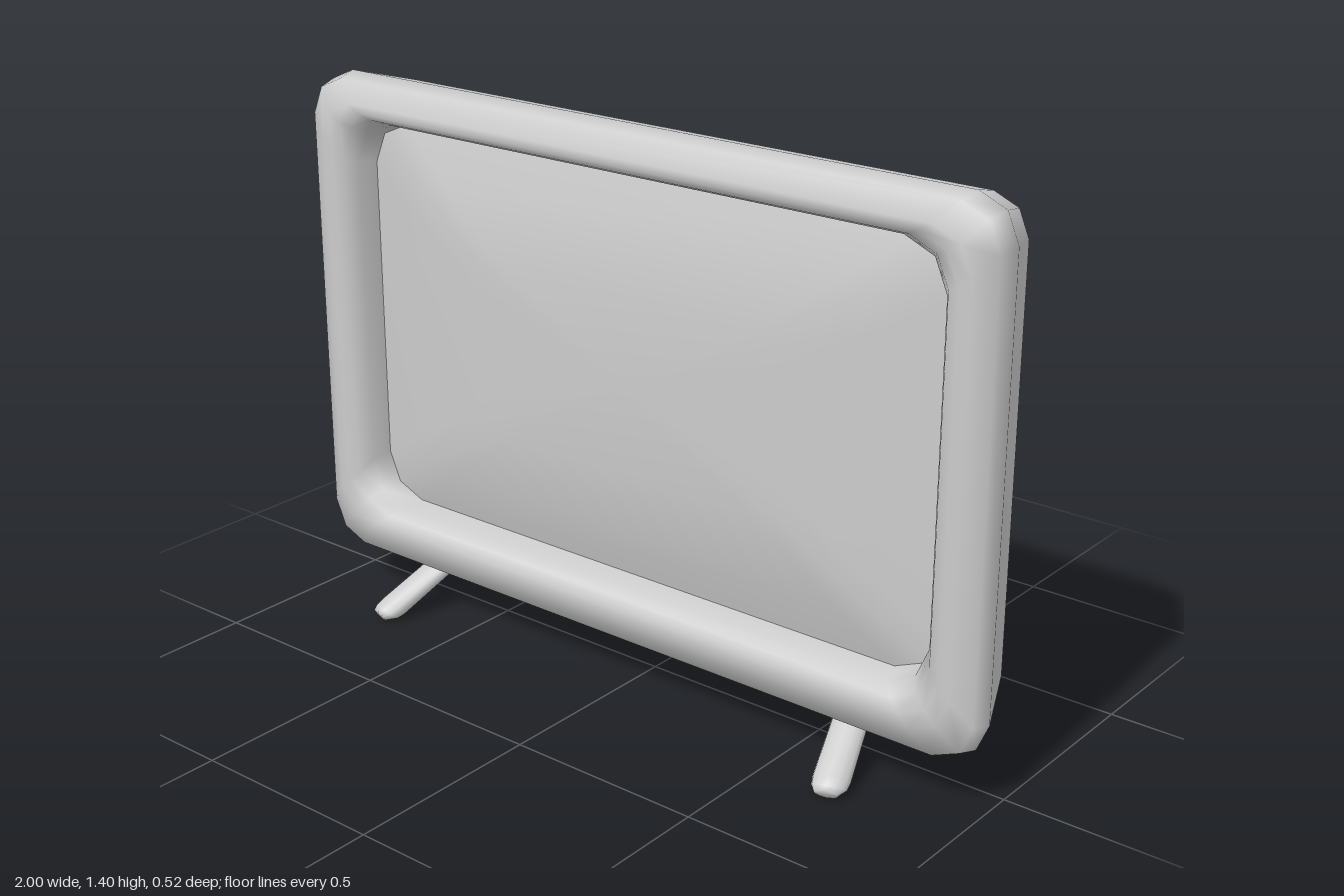
import * as THREE from 'three';

const material = new THREE.MeshStandardMaterial({ color: 0xcccccc });

// Smooth skin through a list of equal-sized rings, optionally closed at either end
function loft(name, rings, capStart, capEnd) {
  const n = rings[0].length;
  const points = rings.flat();
  const index = [];
  for (let i = 0; i < rings.length - 1; i++) {
    for (let j = 0; j < n; j++) {
      const k = (j + 1) % n;
      const a = i * n + j, b = i * n + k, c = a + n, d = b + n;
      index.push(a, b, d, a, d, c);
    }
  }
  const cap = (ring, first, flip) => {
    const centre = new THREE.Vector3();
    ring.forEach((p) => centre.addScaledVector(p, 1 / n));
    const c = points.push(centre) - 1;
    for (let j = 0; j < n; j++) {
      const a = first + j, b = first + (j + 1) % n;
      if (flip) index.push(c, b, a);
      else index.push(c, a, b);
    }
  };
  if (capStart) cap(rings[0], 0, true);
  if (capEnd) cap(rings[rings.length - 1], (rings.length - 1) * n, false);
  const geometry = new THREE.BufferGeometry().setFromPoints(points);
  geometry.setIndex(index);
  geometry.computeVertexNormals();
  const mesh = new THREE.Mesh(geometry, material);
  mesh.name = name;
  return mesh;
}

// Rectangle with two-step chamfered corners, counter-clockwise seen from the front
function roundedRing([hx, hy, cy, z, r]) {
  const corner = [[hx, hy - r], [hx - 0.3 * r, hy - 0.3 * r], [hx - r, hy]];
  const back = [...corner].reverse();
  const quadrants = [[1, 1, corner], [-1, 1, back], [-1, -1, corner], [1, -1, back]];
  return quadrants.flatMap(([sx, sy, pts]) =>
    pts.map(([x, y]) => new THREE.Vector3(sx * x, cy + sy * y, z)));
}

// Bent stand: a rounded bar running from back foot over the apex to front foot
function stand(name, x, side) {
  const forward = new THREE.Vector3(side * 0.076, 0, 0.24).normalize();
  const up = new THREE.Vector3(0, 1, 0);
  const across = new THREE.Vector3().crossVectors(up, forward);
  // upper [t, y], lower [t, y], half width; t is the distance along the bar
  const half = [
    [0, 0.175, 0, 0.115, 0.042],
    [0.03, 0.165, 0.012, 0.115, 0.042],
    [0.238, 0.048, 0.198, 0.006, 0.045],
    [0.26, 0.034, 0.215, 0, 0.042],
    [0.266, 0.024, 0.255, 0, 0.028],
  ];
  const stations = [
    ...half.slice(1).reverse().map(([a, b, c, d, w]) => [-a, b, -c, d, w]),
    ...half,
  ];
  const rings = stations.map(([tu, yu, tl, yl, w]) =>
    Array.from({ length: 12 }, (_, j) => {
      const angle = (j / 12) * Math.PI * 2;
      const s = (1 + Math.sin(angle)) / 2;
      return new THREE.Vector3(x, 0, 0)
        .addScaledVector(forward, tl + (tu - tl) * s)
        .addScaledVector(up, yl + (yu - yl) * s)
        .addScaledVector(across, w * Math.cos(angle));
    }));
  return loft(name, rings, true, true);
}

export function createModel() {
  const group = new THREE.Group();

  // Sections are half width, half height, centre height, z, corner size
  // Tapered casing whose rounded front frame rolls inwards to the screen
  const casing = [
    [0.88, 0.53, 0.763, -0.116, 0.05],
    [0.912, 0.567, 0.763, -0.105, 0.07],
    [0.935, 0.594, 0.763, -0.07, 0.09],
    [1, 0.639, 0.761, 0.085, 0.1],
    [0.99, 0.627, 0.761, 0.138, 0.1],
    [0.94, 0.572, 0.763, 0.16, 0.1],
    [0.91, 0.548, 0.768, 0.16, 0.1],
    [0.88, 0.528, 0.773, 0.148, 0.1],
    [0.86, 0.511, 0.777, 0.118, 0.11],
    [0.85, 0.503, 0.777, 0.065, 0.11],
  ].map(roundedRing);
  group.add(loft('casing', casing, true, false));

  // Bulging screen
  const screen = [
    [0.85, 0.503, 0.777, 0.065, 0.11],
    [0.68, 0.38, 0.777, 0.1, 0.1],
    [0.45, 0.22, 0.777, 0.122, 0.08],
  ].map(roundedRing);
  group.add(loft('screen', screen, false, true));

  // Rounded housing on the rear
  const housing = [
    [0.4, 0.215, 0.54, -0.225, 0.05],
    [0.5, 0.32, 0.54, -0.2, 0.08],
    [0.535, 0.36, 0.54, -0.15, 0.1],
    [0.535, 0.36, 0.54, -0.08, 0.1],
  ].map(roundedRing);
  group.add(loft('rearHousing', housing, true, true));

  // Two splayed stands
  group.add(stand('rightStand', -0.647, -1), stand('leftStand', 0.612, 1));
  return group;
}
